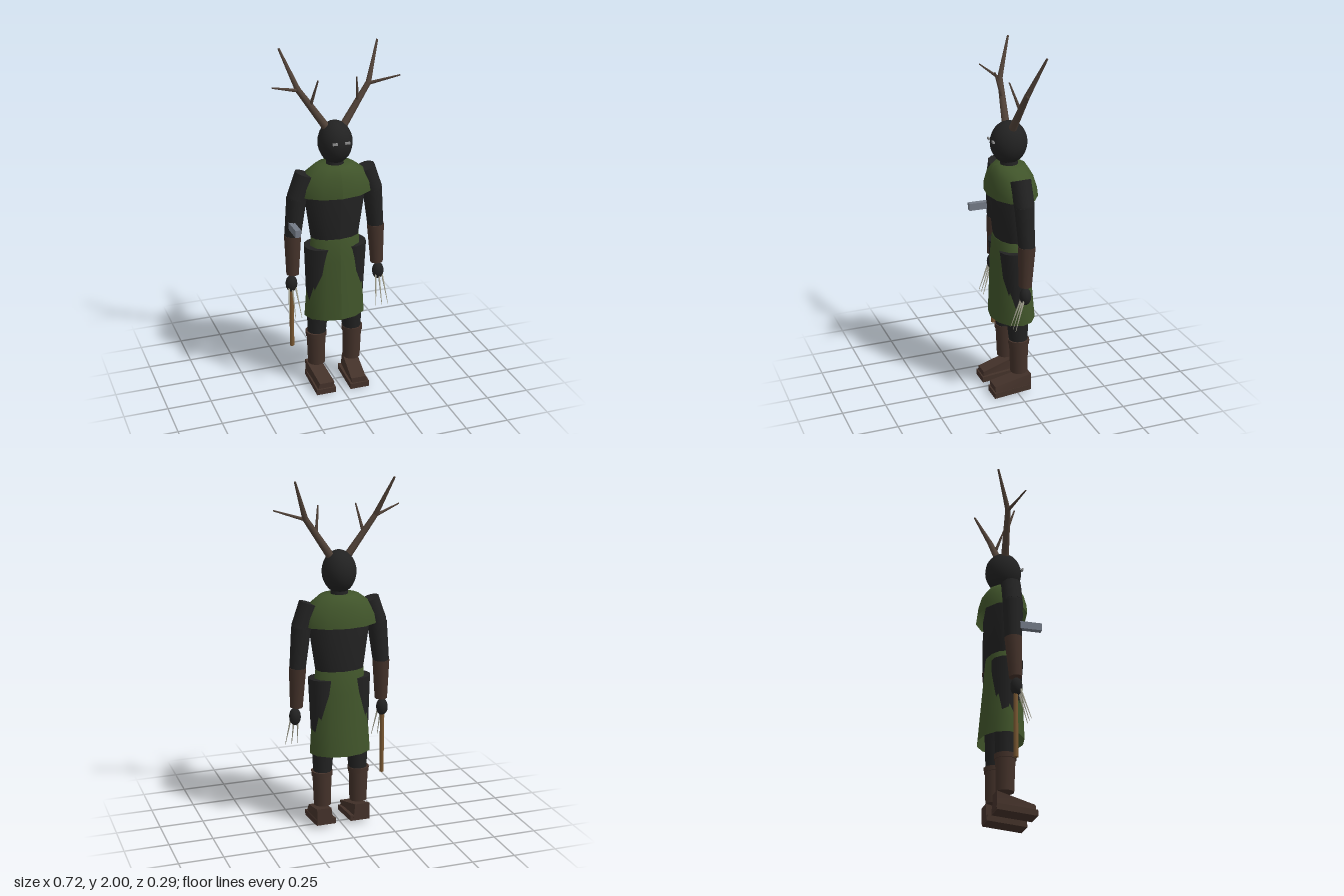
import * as THREE from 'three';

const mat = (name, color, side = THREE.FrontSide) => {
  const m = new THREE.MeshStandardMaterial({ color, side });
  m.name = name;
  return m;
};

export function createModel() {
  const root = new THREE.Group();
  root.name = 'antleredFigure';
  const black = mat('blackCloth', 0x222222);
  const green = mat('greenCloth', 0x40542a, THREE.DoubleSide);
  const brown = mat('brownLeather', 0x44322a);
  const antlerMat = mat('antlerHorn', 0x514238);
  const steel = mat('steel', 0x737a86);
  const eyeMat = mat('paleEye', 0x8c8c8c);
  const clawMat = mat('clawBone', 0xb0ae9c);
  const wood = mat('wood', 0x7a5832);

  const add = (name, geo, material, parent = root) => {
    const mesh = new THREE.Mesh(geo, material);
    mesh.name = name;
    parent.add(mesh);
    return mesh;
  };

  // Tapered round bar from point a to point b
  const bar = (name, a, b, ra, rb, material, parent, sides = 12) => {
    const p = new THREE.Vector3(...a), q = new THREE.Vector3(...b);
    const dir = q.clone().sub(p);
    const mesh = add(name, new THREE.CylinderGeometry(rb, ra, dir.length(), sides), material, parent);
    mesh.position.copy(p).add(q).multiplyScalar(0.5);
    mesh.quaternion.setFromUnitVectors(new THREE.Vector3(0, 1, 0), dir.normalize());
    return mesh;
  };

  const ball = (name, pos, size, material, parent, w = 12, h = 8) => {
    const mesh = add(name, new THREE.SphereGeometry(1, w, h), material, parent);
    mesh.position.set(...pos);
    mesh.scale.set(...size);
    return mesh;
  };

  // Elliptical shell through rings of [y, half width, half depth, centre z], bottom to top
  const shell = (name, rings, material) => {
    const geo = new THREE.LatheGeometry(rings.map(r => new THREE.Vector2(1, r[0])), 12);
    const pos = geo.attributes.position;
    for (let i = 0; i < pos.count; i++) {
      const [, rx, rz, cz] = rings[i % rings.length];
      pos.setX(i, pos.getX(i) * rx);
      pos.setZ(i, pos.getZ(i) * rz + cz);
    }
    geo.computeVertexNormals();
    return add(name, geo, material);
  };

  // Body
  shell('torso', [[0.9, 0.135, 0.085, -0.005], [0.95, 0.145, 0.09, -0.005],
    [1.19, 0.18, 0.108, 0], [1.3, 0.15, 0.09, 0]], black);
  shell('mantle', [[1.19, 0.215, 0.139, -0.009], [1.24, 0.206, 0.135, -0.007],
    [1.305, 0.175, 0.118, -0.005], [1.355, 0.108, 0.088, -0.003], [1.358, 0.04, 0.04, 0]], green);
  shell('skirt', [[0.445, 0.18, 0.126, -0.013], [0.6, 0.17, 0.116, -0.009],
    [0.8, 0.155, 0.104, -0.003], [0.93, 0.142, 0.093, -0.003], [0.935, 0.12, 0.08, -0.003]], green);

  // Head
  bar('neck', [0, 1.3, 0], [0, 1.41, 0], 0.055, 0.045, black, root);
  ball('head', [0, 1.48, 0.002], [0.095, 0.12, 0.104], black, root, 20, 14);

  // Wedge foot, tall at the heel and low at the toe
  const footGeometry = (s) => {
    const geo = new THREE.BoxGeometry(1, 1, 1);
    const pos = geo.attributes.position;
    for (let i = 0; i < pos.count; i++) {
      const outer = pos.getX(i) * s > 0, top = pos.getY(i) > 0, front = pos.getZ(i) > 0;
      const x = outer ? (top && front ? 0.14 : 0.158) : (top ? (front ? 0.052 : 0.072) : 0.062);
      pos.setXYZ(i, s * x, top ? (front ? 0.065 : 0.12) : (front ? 0.012 : 0.03), front ? 0.138 : -0.075);
    }
    geo.computeVertexNormals();
    return geo;
  };
  const soleGeometry = (s) => {
    const geo = new THREE.BoxGeometry(1, 1, 1);
    const pos = geo.attributes.position;
    for (let i = 0; i < pos.count; i++) {
      const outer = pos.getX(i) * s > 0, top = pos.getY(i) > 0, front = pos.getZ(i) > 0;
      pos.setXYZ(i, s * (outer ? 0.16 : 0.045), (front ? 0 : 0.02) + (top ? 0.033 : 0), front ? 0.146 : -0.073);
    }
    geo.computeVertexNormals();
    return geo;
  };

  for (const s of [1, -1]) {
    const side = s > 0 ? 'left' : 'right';
    const group = (name) => {
      const g = new THREE.Group();
      g.name = side + name;
      root.add(g);
      return g;
    };

    // Eye slit
    const eye = add(side + 'Eye', new THREE.BoxGeometry(0.027, 0.012, 0.009), eyeMat);
    eye.position.set(s * 0.036, 1.5, 0.105);

    // Leg
    const leg = group('Leg');
    bar('thigh', [s * 0.092, 0.88, 0], [s * 0.106, 0.32, -0.015], 0.089, 0.053, black, leg);
    bar('shinGuard', [s * 0.11, 0.33, -0.016], [s * 0.108, 0.13, -0.018], 0.056, 0.05, brown, leg);
    bar('shinCuff', [s * 0.11, 0.335, -0.016], [s * 0.11, 0.308, -0.016], 0.062, 0.061, brown, leg);
    add('foot', footGeometry(s), brown, leg);
    add('sole', soleGeometry(s), brown, leg);

    // Arm
    const arm = group('Arm');
    bar('shoulder', [s * 0.175, 1.315, 0], [s * 0.222, 1.18, -0.003], 0.056, 0.056, black, arm);
    ball('shoulderJoint', [s * 0.222, 1.18, -0.003], [0.055, 0.055, 0.056], black, arm);
    bar('upperArm', [s * 0.222, 1.18, -0.003], [s * 0.246, 0.95, -0.008], 0.056, 0.046, black, arm);
    bar('bracer', [s * 0.246, 0.957, -0.008], [s * 0.252, 0.725, 0.002], 0.049, 0.036, brown, arm);
    ball('hand', [s * 0.26, 0.668, 0.004], [0.034, 0.05, 0.033], black, arm);
    for (const k of [-1, 0, 1]) {
      bar('claw', [s * (0.26 + k * 0.018), 0.66, 0.018], [s * (0.26 + k * 0.037), 0.48, 0.075],
        0.006, 0.0015, clawMat, arm, 6);
    }

    // Antler
    const antler = group('Antler');
    bar('lowerBeam', [s * 0.045, 1.56, 0], [s * 0.2, 1.785, -0.024], 0.023, 0.016, antlerMat, antler, 8);
    ball('beamJoint', [s * 0.2, 1.785, -0.024], [0.016, 0.016, 0.016], antlerMat, antler, 8, 6);
    bar('upperBeam', [s * 0.2, 1.785, -0.024], [s * 0.279, 1.997, -0.102], 0.016, 0.006, antlerMat, antler, 8);
    bar('outerTine', [s * 0.2, 1.78, -0.024], [s * 0.36, 1.828, 0.037], 0.01, 0.004, antlerMat, antler, 6);
    bar('innerTine', [s * 0.135, 1.69, -0.012], [s * 0.108, 1.843, 0.04], 0.01, 0.004, antlerMat, antler, 6);
  }

  // Staff in the right hand and metal stub on the right arm
  bar('staff', [-0.26, 0.273, 0], [-0.26, 0.69, 0], 0.013, 0.013, wood, root, 8);
  const stub = add('metalStub', new THREE.BoxGeometry(0.032, 0.042, 0.145), steel);
  stub.position.set(-0.261, 1.028, 0.073);

  return root;
}
